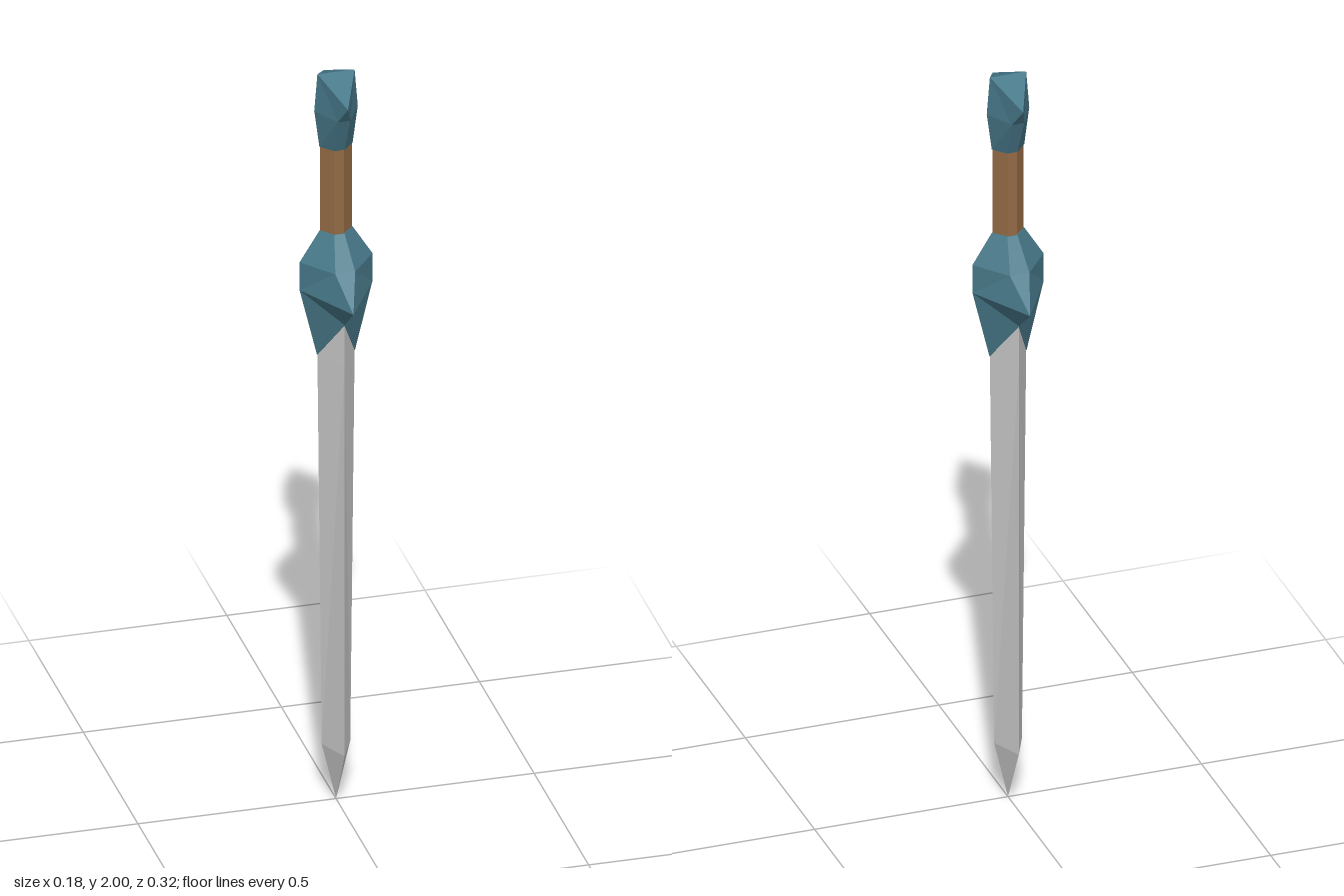
import * as THREE from 'three';

// Six-point ring: side points at (±x, ySide), front/back pairs at (±ix, yFront, ±z).
// ix = 0 turns it into a diamond.
function ring(x, z, ix, ySide, yFront = ySide) {
  return [
    [x, ySide, 0], [ix, yFront, z], [-ix, yFront, z],
    [-x, ySide, 0], [-ix, yFront, -z], [ix, yFront, -z],
  ].map((p) => new THREE.Vector3(...p));
}

// Joins rings from bottom to top with flat facets; flips[k] picks the diagonal of strip k.
function loft(name, color, rings, flips = []) {
  const pos = [];
  const tri = (a, b, c) => {
    if (a.equals(b) || b.equals(c) || a.equals(c)) return;
    pos.push(...a.toArray(), ...b.toArray(), ...c.toArray());
  };
  for (let k = 0; k < rings.length - 1; k++) {
    const a = rings[k], b = rings[k + 1];
    for (let i = 0; i < 6; i++) {
      const j = (i + 1) % 6;
      if ((i % 3 === 2) !== !!flips[k]) {
        tri(a[i], b[i], a[j]);
        tri(b[i], b[j], a[j]);
      } else {
        tri(a[i], b[i], b[j]);
        tri(a[i], b[j], a[j]);
      }
    }
  }
  // End caps, split along the side-to-side line
  const lo = rings[0], hi = rings[rings.length - 1];
  for (const [p, q, r] of [[0, 1, 2], [0, 2, 3], [3, 4, 5], [3, 5, 0]]) {
    tri(lo[p], lo[q], lo[r]);
    tri(hi[p], hi[r], hi[q]);
  }
  const geo = new THREE.BufferGeometry();
  geo.setAttribute('position', new THREE.Float32BufferAttribute(pos, 3));
  geo.computeVertexNormals();
  const mesh = new THREE.Mesh(geo, new THREE.MeshStandardMaterial({ color, flatShading: true }));
  mesh.name = name;
  return mesh;
}

export function createModel() {
  const group = new THREE.Group();
  group.name = 'sword';
  const teal = 0x48798a;

  // Diamond-section blade, point down
  group.add(loft('blade', 0xcccccc, [
    ring(0, 0, 0, 0.005),
    ring(0.036, 0.078, 0, 0.16),
    ring(0.047, 0.078, 0, 1.23),
    ring(0.048, 0.078, 0, 1.38),
  ]));

  // Guard flares to a wide diamond, then narrows to the grip
  group.add(loft('guard', teal, [
    ring(0.048, 0.08, 0, 1.23, 1.345),
    ring(0.092, 0.16, 0, 1.413),
    ring(0.092, 0.085, 0.025, 1.49),
    ring(0.042, 0.032, 0.013, 1.57),
  ], [true, false, false]));

  // Hexagonal grip
  group.add(loft('grip', 0x926a45, [
    ring(0.04, 0.03, 0.012, 1.55),
    ring(0.04, 0.03, 0.012, 1.82),
  ]));

  // Pommel with a sharp ridge on top and a spike to the front and back
  group.add(loft('pommel', teal, [
    ring(0.042, 0.032, 0.013, 1.8),
    ring(0.055, 0.073, 0.016, 1.9),
    ring(0.047, 0.11, 0, 2, 1.95),
  ], [false, true]));

  return group;
}
